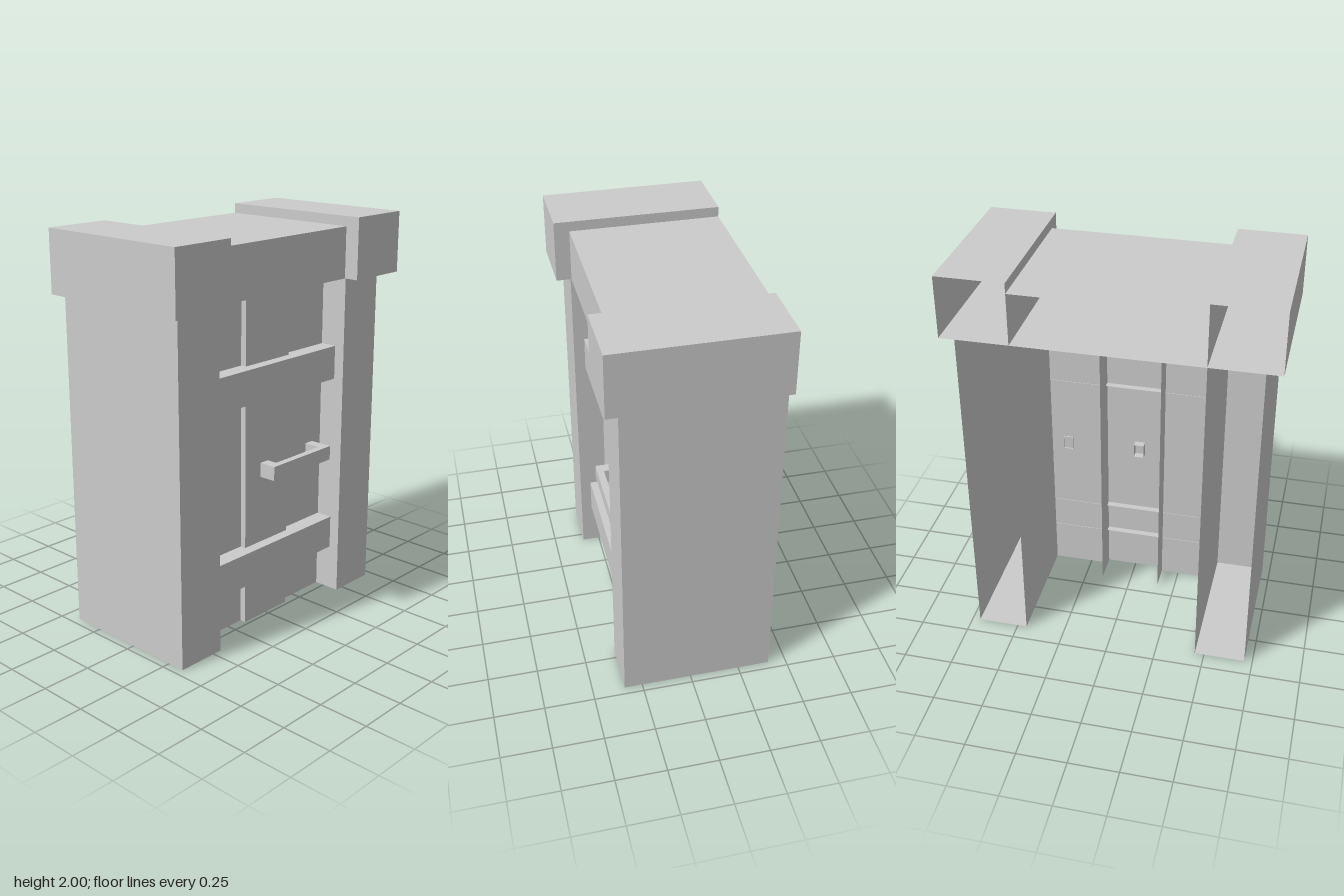
import * as THREE from 'three';

const SIDES = ['left', 'right', 'top', 'bottom', 'front', 'back']; // +x -x +y -y +z -z

export function createModel() {
  const model = new THREE.Group();
  model.name = 'doorway';
  const material = new THREE.MeshStandardMaterial({
    color: 0xcccccc, flatShading: true, side: THREE.DoubleSide,
  });

  // Box between two corners, keeping only the listed sides
  function shell(name, [x0, x1], [y0, y1], [z0, z1], sides, parent = model) {
    const geo = new THREE.BoxGeometry(x1 - x0, y1 - y0, z1 - z0);
    const all = Array.from(geo.index.array);
    geo.setIndex(sides.flatMap((s) => {
      const start = SIDES.indexOf(s) * 6;
      return all.slice(start, start + 6);
    }));
    geo.clearGroups();
    geo.translate((x0 + x1) / 2, (y0 + y1) / 2, (z0 + z1) / 2);
    const mesh = new THREE.Mesh(geo, material);
    mesh.name = name;
    parent.add(mesh);
  }
  const span = (side, a, b) => (side > 0 ? [a, b] : [-b, -a]);
  const openBack = ['left', 'right', 'top', 'bottom', 'front'];

  // Posts and their capitals, hollow and open at the back
  for (const [label, side] of [['left', 1], ['right', -1]]) {
    shell(label + 'Post', span(side, 0.452, 0.709), [0, 1.693], [-0.41, 0.34],
      ['left', 'right', 'bottom', 'front']);
    shell(label + 'Cap', span(side, 0.452, 0.786), [1.693, 2], [-0.41, 0.41], openBack);
  }

  // Lintel between the capitals
  shell('lintel', [-0.452, 0.452], [1.693, 1.95], [-0.41, 0.335], ['top', 'bottom', 'front']);

  // Door planks: the middle one stands proud and has deep sides
  const door = new THREE.Group();
  door.name = 'door';
  model.add(door);
  shell('rightPlank', [-0.452, -0.157], [0, 1.693], [0.08, 0.2], ['front'], door);
  shell('leftPlank', [0.155, 0.452], [0, 1.693], [0.08, 0.2], ['front'], door);
  shell('middlePlank', [-0.157, 0.155], [0, 1.693], [0.075, 0.23], ['left', 'right', 'front'], door);

  // Cross bars
  for (const [name, y] of [['lowerBar', 0.237], ['upperBar', 1.17]]) {
    shell(name, [-0.452, 0.452], [y, y + 0.172], [0.197, 0.285], ['top', 'bottom', 'front'], door);
  }

  // Handle: a grip on two legs
  const handle = new THREE.Group();
  handle.name = 'handle';
  door.add(handle);
  const hy = [0.757, 0.83];
  shell('grip', [-0.047, 0.388], hy, [0.285, 0.32], [...openBack, 'back'], handle);
  for (const x of [-0.047, 0.335]) {
    shell('handleLeg', [x, x + 0.053], hy, [0.193, 0.285],
      ['left', 'right', 'top', 'bottom'], handle);
  }

  return model;
}
